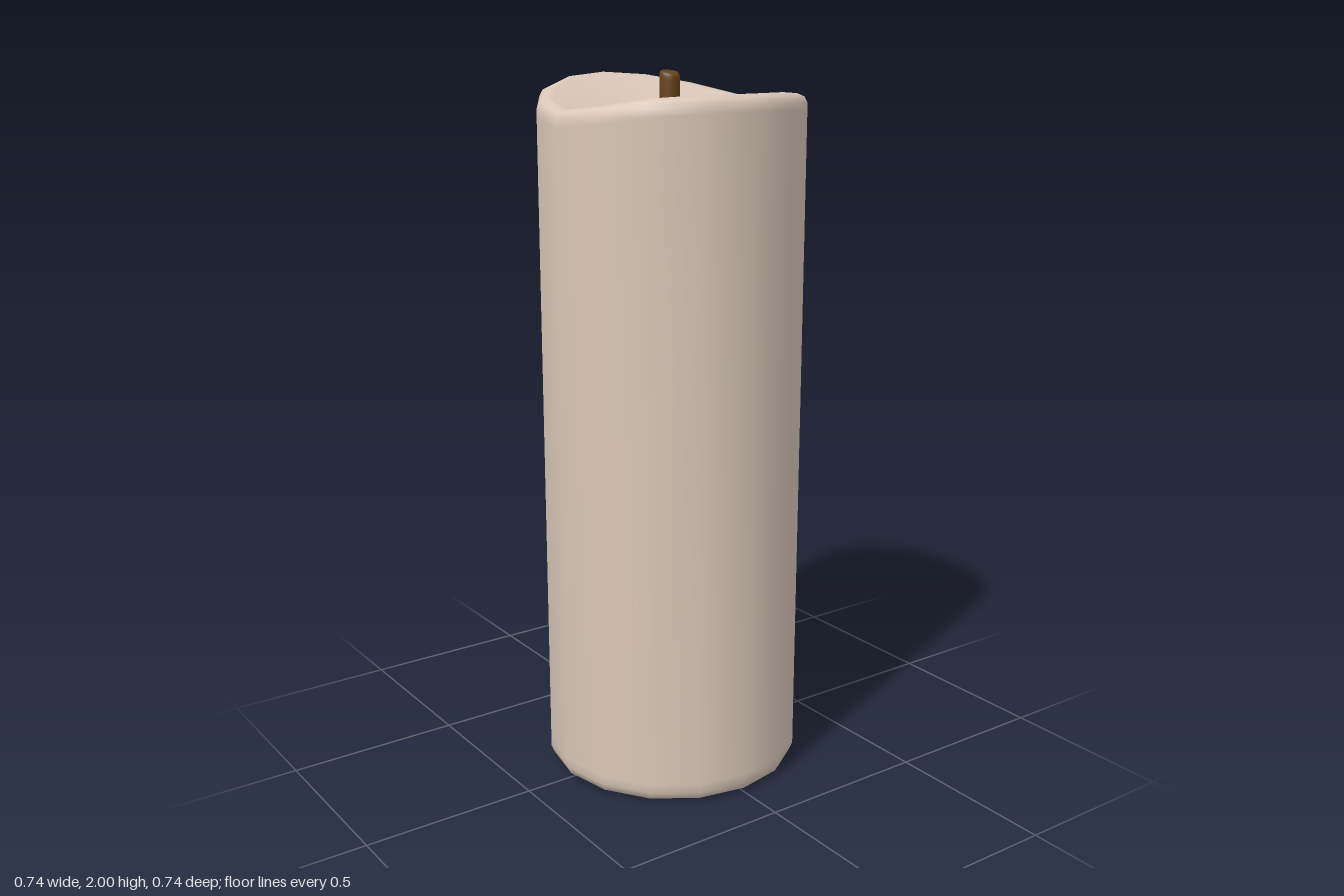
import * as THREE from 'three';
import { mergeVertices } from 'three/addons/utils/BufferGeometryUtils.js';

// Lathe whose vertices are moved by a rule, with seamless smooth normals
function shapedLathe(profile, sides, rule) {
  const points = profile.map(([r, y]) => new THREE.Vector2(r, y));
  let g = new THREE.LatheGeometry(points, sides);
  g.deleteAttribute('uv');
  g.deleteAttribute('normal');
  const p = g.attributes.position;
  for (let i = 0; i < p.count; i++) {
    const [x, y, z] = rule(p.getX(i), p.getY(i), p.getZ(i), i % profile.length);
    p.setXYZ(i, x, y, z);
  }
  g = mergeVertices(g, 1e-5);
  g.computeVertexNormals();
  return g;
}

// Extra rim height by direction: high on one side, lower on the other, dips front and back
function rimRise(c) {
  return c < 0 ? 0.08 * Math.pow(-c, 1.5) : 0.045 * c * c * (3 - 2 * c);
}

export function createModel() {
  const group = new THREE.Group();
  const wickX = -0.008;

  // Wax body: radius, height, share of the rim rise
  const wax = [
    [0, 0, 0], [0.325, 0, 0], [0.34, 0.002, 0], [0.358, 0.012, 0], [0.368, 0.035, 0], [0.368, 0.06, 0],
    [0.368, 1.86, 1], [0.368, 1.88, 1], [0.359, 1.897, 1], [0.34, 1.905, 1], [0.32, 1.903, 0.97],
    [0.19, 1.882, 0.55], [0.065, 1.864, 0.16], [0.05, 1.866, 0.1], [0.038, 1.874, 0.04],
    [0.028, 1.88, 0], [0, 1.88, 0],
  ];
  const waxGeometry = shapedLathe(wax, 16, (x, y, z, j) => {
    const r = Math.hypot(x, z);
    const rise = r > 1e-6 ? rimRise(x / r) * wax[j][2] : 0;
    const shift = j > 9 ? wickX * (1 - r / 0.368) : 0;
    return [x + shift, y + rise, z];
  });
  const body = new THREE.Mesh(waxGeometry,
    new THREE.MeshStandardMaterial({ color: 0xd9c7b8 }));
  body.name = 'waxBody';
  group.add(body);

  // Wick with a slightly slanted, rounded tip
  const wick = [
    [0, 1.84], [0.026, 1.84], [0.028, 1.85], [0.028, 1.975], [0.028, 1.986],
    [0.026, 1.992], [0.022, 1.995], [0, 1.995],
  ];
  const wickGeometry = shapedLathe(wick, 16, (x, y, z) =>
    [x + wickX, y - (y > 1.9 ? x * 0.2 : 0), z]);
  const wickMesh = new THREE.Mesh(wickGeometry,
    new THREE.MeshStandardMaterial({ color: 0x664319 }));
  wickMesh.name = 'wick';
  group.add(wickMesh);

  return group;
}
